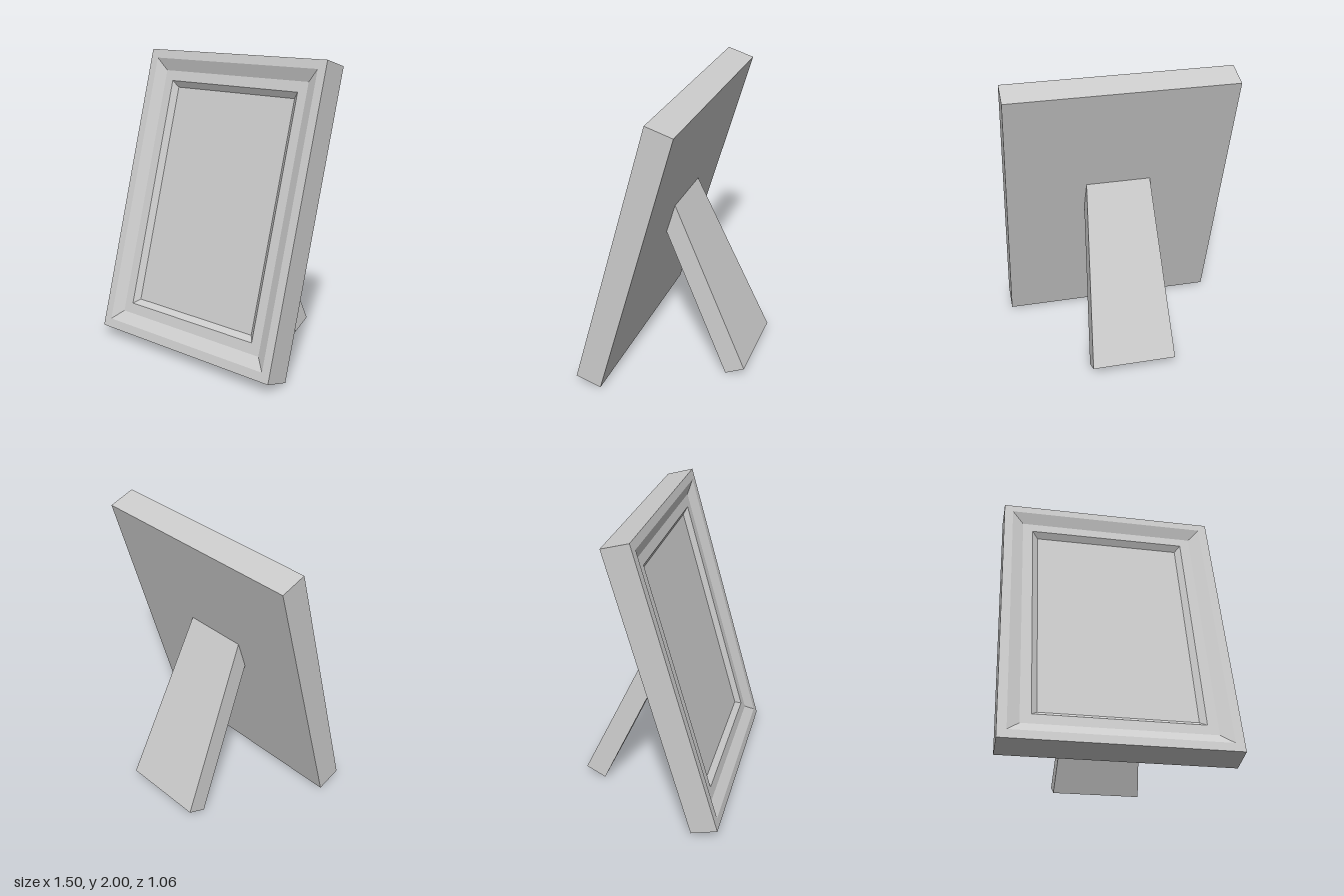
import * as THREE from 'three';

const material = new THREE.MeshStandardMaterial({ color: 0xcccccc, flatShading: true });

const W = 1.5, H = 2.013;          // frame size in its own plane
const TILT = 0.2784;               // backward lean in radians

// Corners of a rectangle inset by margin m at depth z, counter-clockwise from the front
function ring([m, z]) {
  const x = W / 2 - m, y = H / 2 - m;
  return [[-x, -y, z], [x, -y, z], [x, y, z], [-x, y, z]];
}

// Faceted geometry from a list of four-cornered faces
function facesGeometry(quads) {
  const pos = [];
  for (const [a, b, c, d] of quads) pos.push(...a, ...b, ...c, ...a, ...c, ...d);
  const g = new THREE.BufferGeometry();
  g.setAttribute('position', new THREE.Float32BufferAttribute(pos, 3));
  g.computeVertexNormals();
  return g;
}

function addMesh(parent, geometry, name) {
  const mesh = new THREE.Mesh(geometry, material);
  mesh.name = name;
  parent.add(mesh);
}

export function createModel() {
  const model = new THREE.Group();
  model.name = 'pictureFrame';

  // Moulding section: [inset from the edge, depth], from the back to the picture
  const section = [[0, -0.185], [0, 0], [0.06, 0], [0.137, -0.04], [0.207, -0.04], [0.245, -0.073]];
  const rings = section.map(ring);
  const quads = [[...rings[0]].reverse()];
  for (let i = 0; i < rings.length - 1; i++) {
    for (let k = 0; k < 4; k++) {
      const n = (k + 1) % 4;
      quads.push([rings[i][k], rings[i][n], rings[i + 1][n], rings[i + 1][k]]);
    }
  }
  const body = new THREE.Group();
  body.name = 'leaningFrame';
  addMesh(body, facesGeometry(quads), 'frameMoulding');
  addMesh(body, facesGeometry([rings[rings.length - 1]]), 'picturePanel');
  body.rotation.x = -TILT;
  body.position.set(0, 1.0325, 0.2515);
  model.add(body);

  // Easel leg: side profile as (-z, y), extruded across and widened towards the foot
  const profile = [[-0.005, 1.22], [-0.065, 1.02], [0.393, 0], [0.527, 0.07]];
  const shape = new THREE.Shape(profile.map(([x, y]) => new THREE.Vector2(x, y)));
  const leg = new THREE.ExtrudeGeometry(shape, { depth: 2, bevelEnabled: false });
  leg.translate(0, 0, -1).rotateY(Math.PI / 2);
  const p = leg.attributes.position;
  for (let i = 0; i < p.count; i++) {
    // distance up from the foot along the leg
    const along = p.getY(i) * 0.909 + (p.getZ(i) + 0.393) * 0.416;
    p.setX(i, p.getX(i) * (0.29 - 0.057 * along) - 0.005);
  }
  leg.computeVertexNormals();
  addMesh(model, leg, 'easelLeg');

  return model;
}
